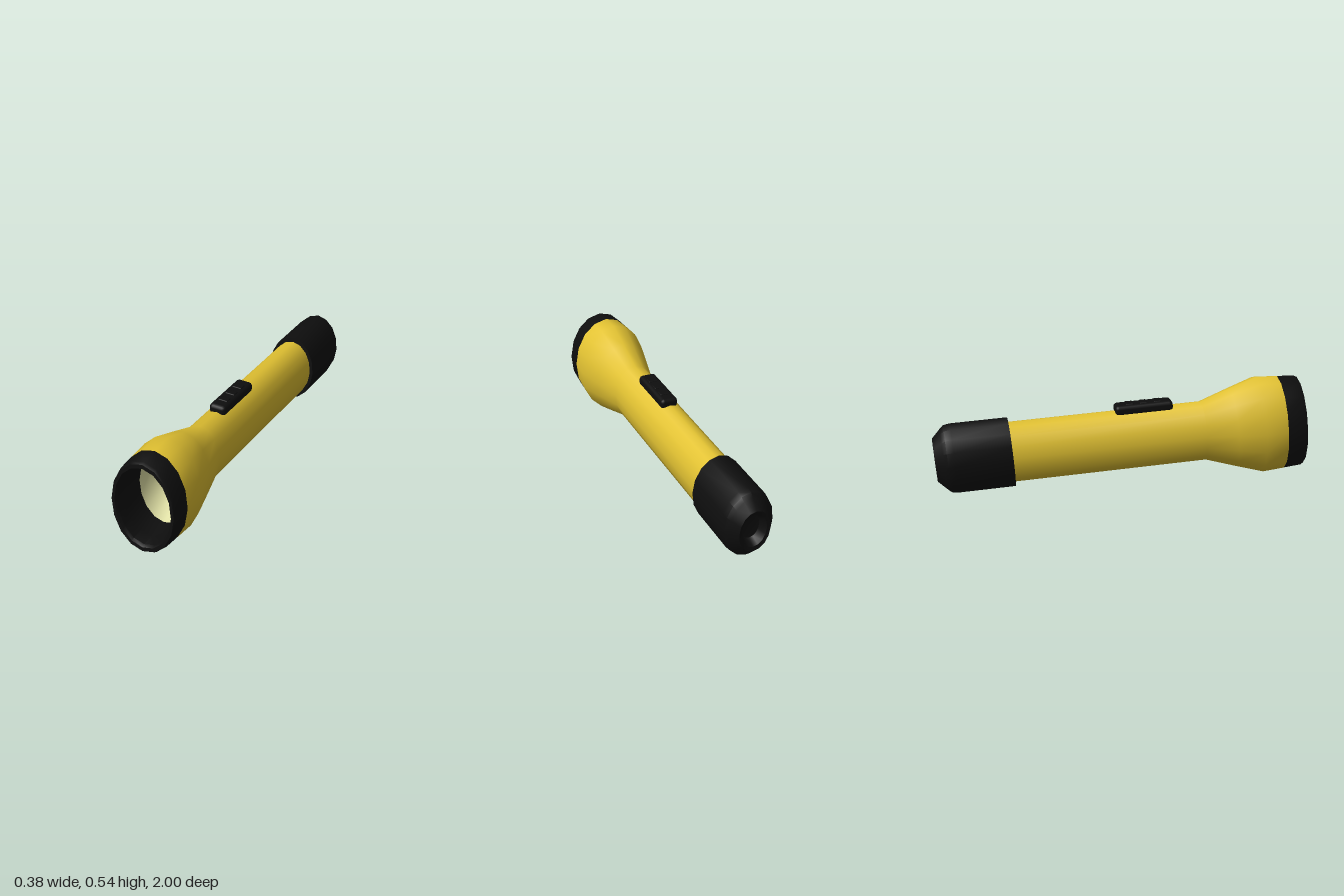
import * as THREE from 'three';
import { toCreasedNormals } from 'three/addons/utils/BufferGeometryUtils.js';
import { RoundedBoxGeometry } from 'three/addons/geometries/RoundedBoxGeometry.js';

const SIDES = 16;
const WIDTH = 0.705; // oval section: width relative to height

// Leans the torch: the nose points slightly up and its cross-sections tip back
const lean = new THREE.Matrix4().set(
  1, 0, 0, 0,
  0, 1, 0.049, 0.238,
  0, -0.079, 1, 0,
  0, 0, 0, 1
);

// Oval turned part along z; profile is [radius, z], with z rising on outer surfaces
function turned(profile) {
  const geo = new THREE.LatheGeometry(profile.map(([r, z]) => new THREE.Vector2(r, z)), SIDES);
  geo.rotateX(Math.PI / 2);
  return toCreasedNormals(geo, 0.6).scale(WIDTH, 1, 1).applyMatrix4(lean);
}

function slab(w, h, d, radius, y, z) {
  return new RoundedBoxGeometry(w, h, d, 2, radius).translate(0, y, z).applyMatrix4(lean);
}

export function createModel() {
  const yellow = new THREE.MeshStandardMaterial({ color: 0xe2c232 });
  const black = new THREE.MeshStandardMaterial({ color: 0x0e0e0e });
  const cream = new THREE.MeshStandardMaterial({ color: 0xe6e6aa });
  yellow.name = 'yellow casing';
  black.name = 'black rubber';
  cream.name = 'cream reflector';

  const group = new THREE.Group();
  group.name = 'flashlight';
  const add = (name, geo, material, parent = group) => {
    const mesh = new THREE.Mesh(geo, material);
    mesh.name = name;
    parent.add(mesh);
  };

  // Handle tube flaring into the head
  add('casing', turned([
    [0.165, -0.62], [0.165, 0.445], [0.222, 0.61], [0.27, 0.755], [0.262, 0.875],
  ]), yellow);

  // Front ring: outer band, lip, then the inner wall back to the reflector
  add('frontRing', turned([
    [0.25, 0.868], [0.262, 0.868], [0.255, 0.97], [0.247, 0.984],
    [0.225, 0.984], [0.215, 0.97], [0.213, 0.9], [0.2, 0.79],
  ]), black);

  // Concave reflector
  add('reflector', turned([
    [0.2, 0.79], [0.185, 0.72], [0.155, 0.66], [0.11, 0.61], [0.058, 0.58], [0, 0.57],
  ]), cream);

  // Tail cap with a bevelled end and a shallow dimple
  add('tailCap', turned([
    [0, -0.93], [0.07, -0.94], [0.095, -0.985], [0.118, -0.99], [0.165, -0.945],
    [0.184, -0.925], [0.19, -0.89], [0.19, -0.59], [0.16, -0.59],
  ]), black);

  // Sliding switch with three grip ridges
  const control = new THREE.Group();
  control.name = 'switch';
  group.add(control);
  add('switchBase', slab(0.094, 0.055, 0.31, 0.02, 0.172, 0.132), black, control);
  for (let i = -1; i <= 1; i++) {
    add('switchRidge', slab(0.055, 0.012, 0.04, 0.005, 0.198, 0.132 + i * 0.075), black, control);
  }
  return group;
}
